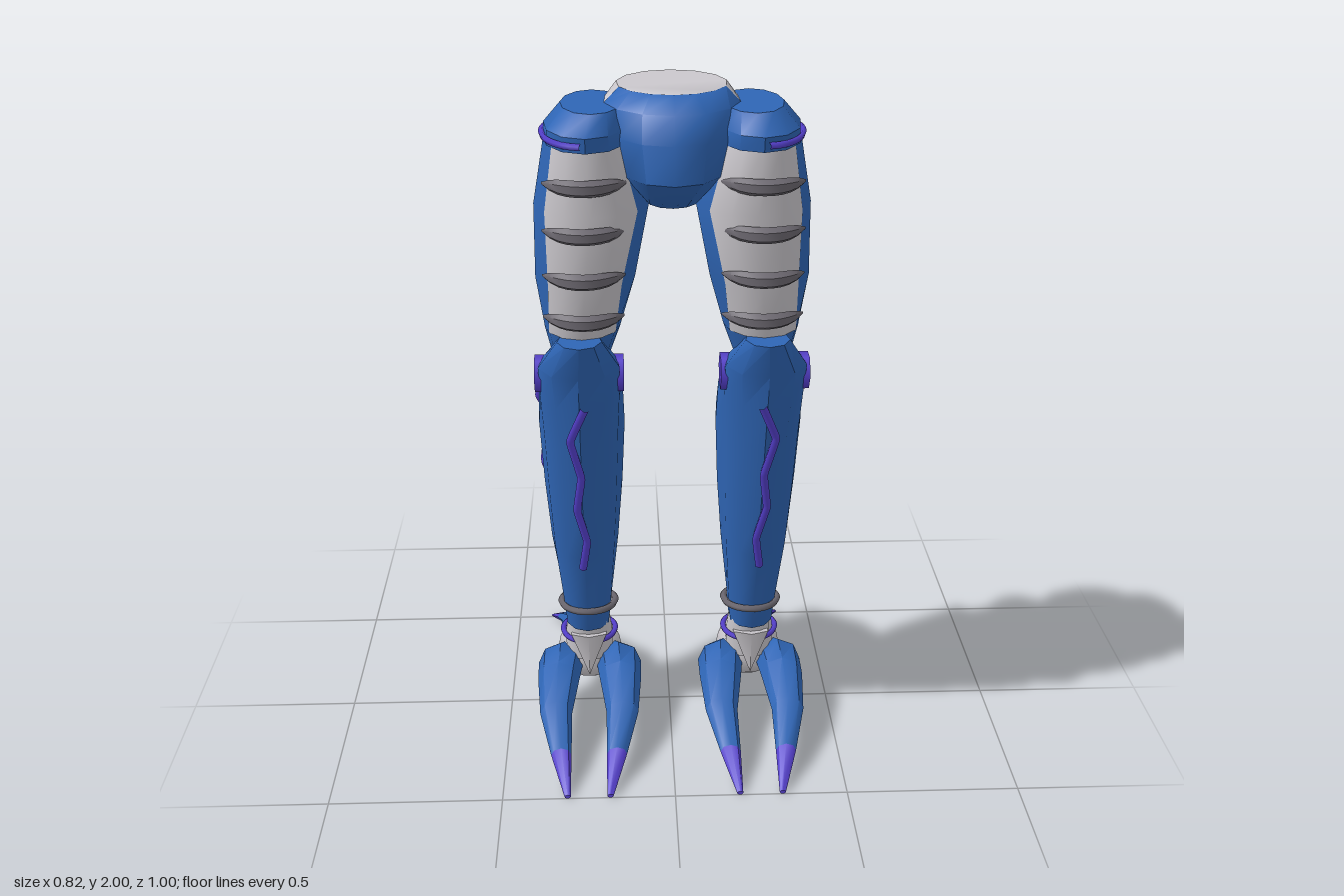
import * as THREE from 'three';
import { toCreasedNormals } from 'three/addons/utils/BufferGeometryUtils.js';

const material = (name, color) => Object.assign(new THREE.MeshStandardMaterial({ color }), { name });
const V = (x, y, z) => new THREE.Vector3(x, y, z);

// Skin closed rings of points; the first nf segments use material 0, the rest material 1
function skin(rings, nf, capMat = 1) {
  const n = rings[0].length, pos = [], idx = [[], []];
  rings.forEach(r => r.forEach(p => pos.push(p.x, p.y, p.z)));
  for (let i = 0; i < rings.length - 1; i++)
    for (let j = 0; j < n; j++) {
      const a = i * n + j, b = i * n + (j + 1) % n;
      idx[j < nf ? 0 : 1].push(a, b, b + n, a, b + n, a + n);
    }
  const top = (rings.length - 1) * n;
  for (let j = 1; j < n - 1; j++)
    idx[capMat].push(0, j + 1, j, top, top + j, top + j + 1);
  const g = new THREE.BufferGeometry();
  g.setAttribute('position', new THREE.Float32BufferAttribute(pos, 3));
  g.setIndex([...idx[0], ...idx[1]]);
  g.addGroup(0, idx[0].length, 0);
  g.addGroup(idx[0].length, idx[1].length, 1);
  return toCreasedNormals(g, 0.75);
}

// Upright oval ring from [y, centre x, front z, back z, colour split z, half width]
function ovalRing([y, cx, zf, zb, zs, rx], nf, nb, s) {
  const c = (zf + zb) / 2, rz = (zf - zb) / 2, out = [];
  const t = Math.acos(THREE.MathUtils.clamp((zs - c) / rz, -0.99, 0.99));
  for (let j = 0; j < nf + nb; j++) {
    const a = j < nf ? -t + 2 * t * j / nf : t + (2 * Math.PI - 2 * t) * (j - nf) / nb;
    out.push(V(s * cx + rx * Math.sin(a), y, c + rz * Math.cos(a)));
  }
  return out;
}
const column = (rows, nf, nb, s, capMat) => skin(rows.map(r => ovalRing(r, nf, nb, s)), nf, capMat);

// Claw from [x, y, z, half width, half height], ordered by rising z
const claw = (rows, s) => skin(rows.map(([x, y, z, rx, ry]) =>
  Array.from({ length: 8 }, (_, j) => {
    const a = j * Math.PI / 4;
    return V(s * x + rx * Math.cos(a), y + ry * Math.sin(a), z);
  })), 8, 0);

// Oval band, or an arc of one, around a limb
function band(s, cx, y, cz, rx, rz, r, from = 0, to = 2 * Math.PI, tilt = 0) {
  const closed = to - from > 6.2, pts = [];
  for (let i = 0; i < (closed ? 12 : 13); i++) {
    const a = from + (to - from) * i / 12;
    pts.push(V(s * (cx + rx * Math.sin(a)), y + tilt * Math.cos(a), cz + rz * Math.cos(a)));
  }
  return new THREE.TubeGeometry(new THREE.CatmullRomCurve3(pts, closed), 36, r, 5, closed);
}

// Zigzag line over the shin
const zigzag = (pts, s, r) => new THREE.TubeGeometry(
  new THREE.CatmullRomCurve3(pts.map(([x, y, z]) => V(s * x, y, z)), false, 'catmullrom', 0.1), 50, r, 5);

export function createModel() {
  const blue = material('blue', 0x2f66b6), grey = material('paleGrey', 0xcbc8cd);
  const purple = material('purple', 0x5540cc), dark = material('darkGrey', 0x6c6870);
  const model = new THREE.Group();
  model.name = 'legs';
  const add = (parent, name, geometry, mat) => {
    const m = new THREE.Mesh(geometry, mat);
    m.name = name;
    parent.add(m);
    return m;
  };

  // Pelvis: blue front, grey back and top
  add(model, 'pelvis', column([
    [1.70, 0, 0.29, 0.12, 0.21, 0.07],
    [1.79, 0, 0.41, 0.03, 0.215, 0.14],
    [1.89, 0, 0.405, -0.02, 0.215, 0.172],
    [1.96, 0, 0.375, -0.015, 0.215, 0.178],
    [2.00, 0, 0.32, 0.005, 0.215, 0.145],
  ], 6, 8, 1, 1), [blue, grey]);

  for (const s of [1, -1]) {
    const leg = new THREE.Group();
    leg.name = s > 0 ? 'leftLeg' : 'rightLeg';
    model.add(leg);

    // Hip cap with its stripe
    add(leg, 'hipCap', column([
      [1.87, 0.222, 0.39, 0.035, 0.2, 0.112],
      [1.91, 0.222, 0.40, 0.03, 0.2, 0.11],
      [1.96, 0.208, 0.35, 0.06, 0.2, 0.08],
    ], 6, 6, s, 1), [blue, blue]);
    add(leg, 'hipStripe', band(s, 0.222, 1.888, 0.208, 0.114, 0.186, 0.009, 0.1, 3.6), purple);

    // Thigh with a grey front panel
    add(leg, 'thigh', column([
      [1.35, 0.243, 0.315, 0.075, 0.255, 0.103],
      [1.50, 0.232, 0.35, 0.05, 0.305, 0.135],
      [1.70, 0.212, 0.375, 0.035, 0.31, 0.152],
      [1.88, 0.222, 0.375, 0.045, 0.315, 0.11],
    ], 4, 8, s, 1), [grey, blue]);
    add(leg, 'lowerThigh', column([
      [1.24, 0.25, 0.27, 0.11, 0.2, 0.07],
      [1.35, 0.243, 0.31, 0.075, 0.2, 0.103],
    ], 6, 6, s, 1), [blue, blue]);

    // Thigh ribs, tapered at both ends
    [[1.78, 0.385], [1.655, 0.385], [1.53, 0.372], [1.41, 0.352]].forEach(([y, z], i) => {
      const rings = [];
      for (let k = -5; k <= 5; k++) {
        const u = k / 5, r = 0.019 * (1 - u ** 4) + 0.003;
        rings.push(Array.from({ length: 6 }, (_, j) => {
          const a = j * Math.PI / 3;
          return V(s * (0.228 + i * 0.003) + 0.108 * u, y + r * Math.cos(a), z - 0.065 * u * u + r * Math.sin(a));
        }));
      }
      add(leg, 'thighRib', skin(rings, 6, 0), [dark, dark]);
    });

    // Shin: blue front, grey calf
    add(leg, 'shin', column([
      [0.30, 0.252, 0.075, -0.085, -0.065, 0.068],
      [0.38, 0.252, 0.092, -0.09, -0.068, 0.075],
      [0.60, 0.255, 0.16, -0.14, -0.07, 0.1],
      [0.80, 0.255, 0.22, -0.185, -0.068, 0.115],
      [1.00, 0.255, 0.28, -0.205, -0.055, 0.124],
      [1.14, 0.255, 0.325, -0.08, -0.01, 0.12],
      [1.25, 0.255, 0.355, 0.115, 0.125, 0.113],
      [1.35, 0.25, 0.385, 0.25, 0.253, 0.06],
    ], 8, 4, s, 0), [blue, grey]);
    add(leg, 'shinFrontLine', zigzag([[0.24, 1.16, 0.338], [0.282, 1.05, 0.302], [0.255, 0.92, 0.264],
      [0.27, 0.8, 0.228], [0.245, 0.68, 0.193], [0.26, 0.57, 0.16]], s, 0.012), purple);
    add(leg, 'shinSideLine', zigzag([[0.37, 1.16, -0.01], [0.38, 1.05, -0.02], [0.357, 0.945, -0.13],
      [0.373, 0.82, -0.06], [0.34, 0.7, -0.12], [0.343, 0.58, -0.08]], s, 0.012), purple);

    // Knee pin on both sides of the joint
    const pin = add(leg, 'kneePin', new THREE.CylinderGeometry(0.052, 0.052, 0.245, 6), purple);
    pin.rotation.z = Math.PI / 2;
    pin.position.set(s * 0.255, 1.21, 0.2);

    // Ankle, bands and heel ball
    add(leg, 'ankle', column([
      [0.18, 0.25, 0.05, -0.1, 0, 0.075],
      [0.25, 0.25, 0.055, -0.09, 0, 0.075],
      [0.31, 0.25, 0.07, -0.08, 0, 0.066],
    ], 6, 6, s, 1), [grey, grey]);
    add(leg, 'shinBand', band(s, 0.25, 0.37, 0.003, 0.082, 0.092, 0.011, 0, 2 * Math.PI, 0.012), dark);
    add(leg, 'ankleBand', band(s, 0.25, 0.255, -0.018, 0.081, 0.08, 0.009), purple);
    const heel = add(leg, 'heelBall', new THREE.SphereGeometry(0.1, 10, 8), grey);
    heel.position.set(s * 0.25, 0.165, -0.06);
    const tongue = add(leg, 'ankleTongue', new THREE.ConeGeometry(0.062, 0.14, 6), grey);
    tongue.rotation.x = Math.PI - 0.25;
    tongue.position.set(s * 0.25, 0.205, 0.05);

    // Two front claws curving toward each other
    for (const t of [1, -1]) {
      const at = (dx, ...rest) => [0.25 + t * dx, ...rest];
      const mid = at(0.082, 0.066, 0.38, 0.03, 0.024);
      add(leg, 'frontClaw', claw([
        at(0.075, 0.15, -0.03, 0.05, 0.05), at(0.09, 0.148, 0.01, 0.07, 0.07),
        at(0.095, 0.147, 0.1, 0.064, 0.06), at(0.1, 0.115, 0.24, 0.048, 0.042), mid,
      ], s), [blue, blue]);
      add(leg, 'frontClawTip', claw([mid, at(0.062, 0.008, 0.5, 0.009, 0.006)], s), [purple, purple]);
    }

    // Back claw sweeping outward
    const root = [0.335, 0.062, -0.4, 0.032, 0.02];
    add(leg, 'backClaw', claw([
      root, [0.293, 0.11, -0.3, 0.054, 0.032], [0.262, 0.152, -0.2, 0.083, 0.055],
      [0.252, 0.165, -0.13, 0.086, 0.062],
    ], s), [blue, blue]);
    add(leg, 'backClawTip', claw([[0.382, 0.008, -0.5, 0.01, 0.006], root], s), [purple, purple]);
  }
  return model;
}
